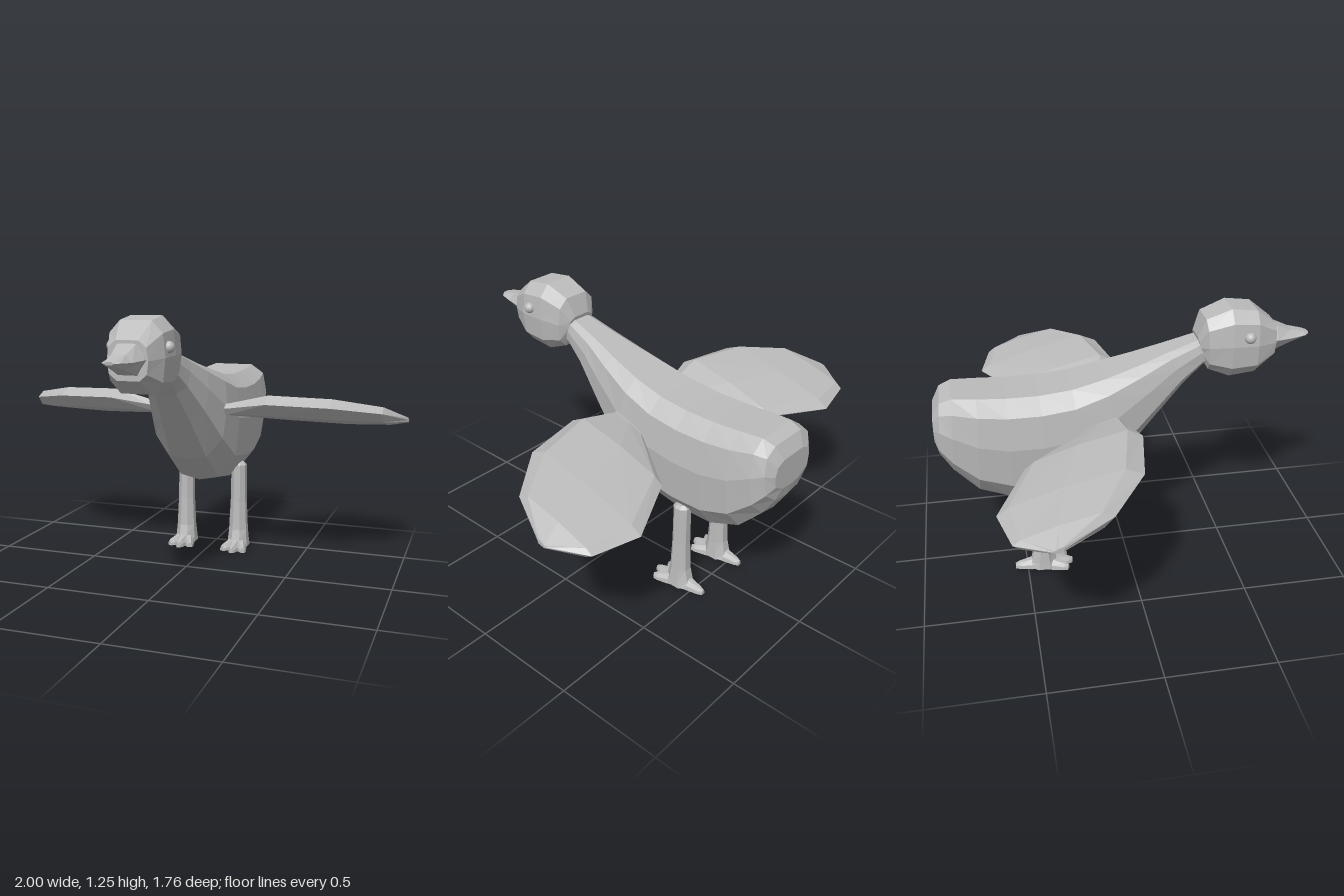
import * as THREE from 'three';

const V = (x, y, z) => new THREE.Vector3(x, y, z);

// Closed, faceted skin over a row of equal-sized cross-sections, with end caps
function loft(rings) {
  const n = rings[0].length, tris = [];
  for (let i = 0; i < rings.length - 1; i++) {
    for (let j = 0; j < n; j++) {
      const k = (j + 1) % n;
      const a = rings[i][j], b = rings[i][k], c = rings[i + 1][k], d = rings[i + 1][j];
      tris.push([a, b, c], [a, c, d]);
    }
  }
  const first = rings[0], last = rings[rings.length - 1];
  for (let j = 1; j < n - 1; j++) {
    tris.push([first[0], first[j + 1], first[j]], [last[0], last[j], last[j + 1]]);
  }
  // Turn all faces outward if the enclosed volume comes out negative
  let volume = 0;
  for (const [a, b, c] of tris) volume += a.dot(b.clone().cross(c));
  const points = tris.flatMap(([a, b, c]) => (volume < 0 ? [a, c, b] : [a, b, c]));
  const geometry = new THREE.BufferGeometry().setFromPoints(points);
  geometry.computeVertexNormals();
  return geometry;
}

// Symmetric cross-section between a top and a bottom point; profile runs [width, depth] downward
function section(profile, [zTop, yTop, zBottom, yBottom, w]) {
  const at = (side) => ([x, t]) =>
    V(side * x * w, THREE.MathUtils.lerp(yTop, yBottom, t), THREE.MathUtils.lerp(zTop, zBottom, t));
  const mirrored = profile.filter(([x]) => x > 0).reverse();
  return [...profile.map(at(1)), ...mirrored.map(at(-1))];
}

// Octagonal cross-section lying flat
function disc(x, y, z, rx, rz) {
  return Array.from({ length: 8 }, (_, i) => {
    const a = ((i + 0.5) / 8) * Math.PI * 2;
    return V(x + rx * Math.cos(a), y, z + rz * Math.sin(a));
  });
}

export function createModel() {
  const group = new THREE.Group();
  const grey = new THREE.MeshStandardMaterial({ color: 0xbcbcbc });
  grey.name = 'grey';
  const add = (name, geometry) => {
    const mesh = new THREE.Mesh(geometry, grey);
    mesh.name = name;
    group.add(mesh);
    return mesh;
  };

  // Body and neck, from throat to tail
  const bodyProfile = [[0.55, 0], [0.9, 0.12], [1, 0.4], [0.93, 0.75], [0.5, 0.96], [0, 1]];
  add('body', loft([
    [0.38, 1.11, 0.42, 0.99, 0.07],
    [0.33, 1.1, 0.37, 0.975, 0.083],
    [0.2, 1.06, 0.28, 0.89, 0.105],
    [0.06, 1.015, 0.14, 0.73, 0.145],
    [-0.1, 0.97, -0.02, 0.54, 0.185],
    [-0.25, 0.935, -0.2, 0.4, 0.2],
    [-0.4, 0.92, -0.38, 0.368, 0.205],
    [-0.55, 0.92, -0.55, 0.37, 0.205],
    [-0.68, 0.927, -0.7, 0.43, 0.2],
    [-0.79, 0.933, -0.81, 0.55, 0.187],
    [-0.845, 0.912, -0.865, 0.64, 0.168],
    [-0.88, 0.85, -0.88, 0.7, 0.125],
  ].map((s) => section(bodyProfile, s))));

  // Head
  const headProfile = [[0.55, 0], [0.92, 0.17], [1, 0.5], [0.92, 0.83], [0.55, 1]];
  add('head', loft([
    [0.34, 1.12, 0.36, 1.03, 0.075],
    [0.373, 1.21, 0.388, 0.965, 0.115],
    [0.49, 1.255, 0.49, 0.925, 0.13],
    [0.61, 1.24, 0.61, 0.937, 0.128],
    [0.705, 1.165, 0.7, 1.0, 0.09],
  ].map((s) => section(headProfile, s))));

  // Beak, flattened toward the tip
  const beakProfile = [[0.5, 0], [1, 0.5], [0.5, 1]];
  add('beak', loft([
    [0.66, 1.17, 0.66, 1.01, 0.09],
    [0.72, 1.145, 0.72, 1.03, 0.08],
    [0.79, 1.115, 0.79, 1.053, 0.06],
    [0.86, 1.1, 0.86, 1.074, 0.042],
    [0.882, 1.094, 0.88, 1.08, 0.022],
  ].map((s) => section(beakProfile, s))));

  for (const side of [1, -1]) {
    const label = side > 0 ? 'left' : 'right';

    // Eye
    add(label + 'Eye', new THREE.SphereGeometry(0.026, 16, 12)).position.set(side * 0.125, 1.13, 0.565);

    // Wing: tilted chords [x, leading z, trailing z, thickness, droop]
    add(label + 'Wing', loft([
      [0.14, -0.04, -0.2, 0.025, 0.025],
      [0.2, -0.03, -0.23, 0.03, 0.02],
      [0.39, 0.02, -0.5, 0.055, 0],
      [0.68, -0.03, -0.64, 0.055, 0],
      [0.9, -0.19, -0.59, 0.04, 0.004],
      [1, -0.4, -0.44, 0.012, 0.012],
    ].map(([x, front, back, t, droop]) =>
      [[0, 0.1], [0.13, 1], [0.55, 0.85], [0.92, 0.35], [1, -0.1], [0.92, -0.75], [0.5, -0.85], [0.1, -0.8]]
        .map(([u, v]) => {
          const z = THREE.MathUtils.lerp(front, back, u);
          return V(side * x, 0.82 + 0.2 * z - droop + v * t, z);
        }))));

    // Leg, flaring into the foot
    const x = side * 0.145, z = -0.42;
    add(label + 'Leg', loft([
      [0.46, 0.025, 0.025], [0.445, 0.04, 0.042], [0.25, 0.043, 0.043],
      [0.1, 0.05, 0.05], [0.04, 0.055, 0.065], [0.008, 0.058, 0.08],
    ].map(([y, rx, rz]) => disc(x, y, z, rx, rz))));

    // Three short front toes and one back toe
    for (const [dx, dz] of [[-0.058, 0.115], [0, 0.14], [0.058, 0.115], [0, -0.14]]) {
      const length = Math.hypot(dx, dz);
      const along = V(dx / length, 0, dz / length);
      const across = V(along.z, 0, -along.x);
      add(label + 'Toe', loft([[0, 0.07, 0.04], [0.45, 0.045, 0.032], [0.85, 0.032, 0.02], [1, 0.024, 0.01]]
        .map(([u, h, w]) => [[-1, 0], [-0.9, 0.5], [-0.4, 1], [0.4, 1], [0.9, 0.5], [1, 0]]
          .map(([a, b]) => V(x, 0.002 + b * h, z)
            .addScaledVector(along, u * length)
            .addScaledVector(across, a * w)))));
    }
  }

  return group;
}
